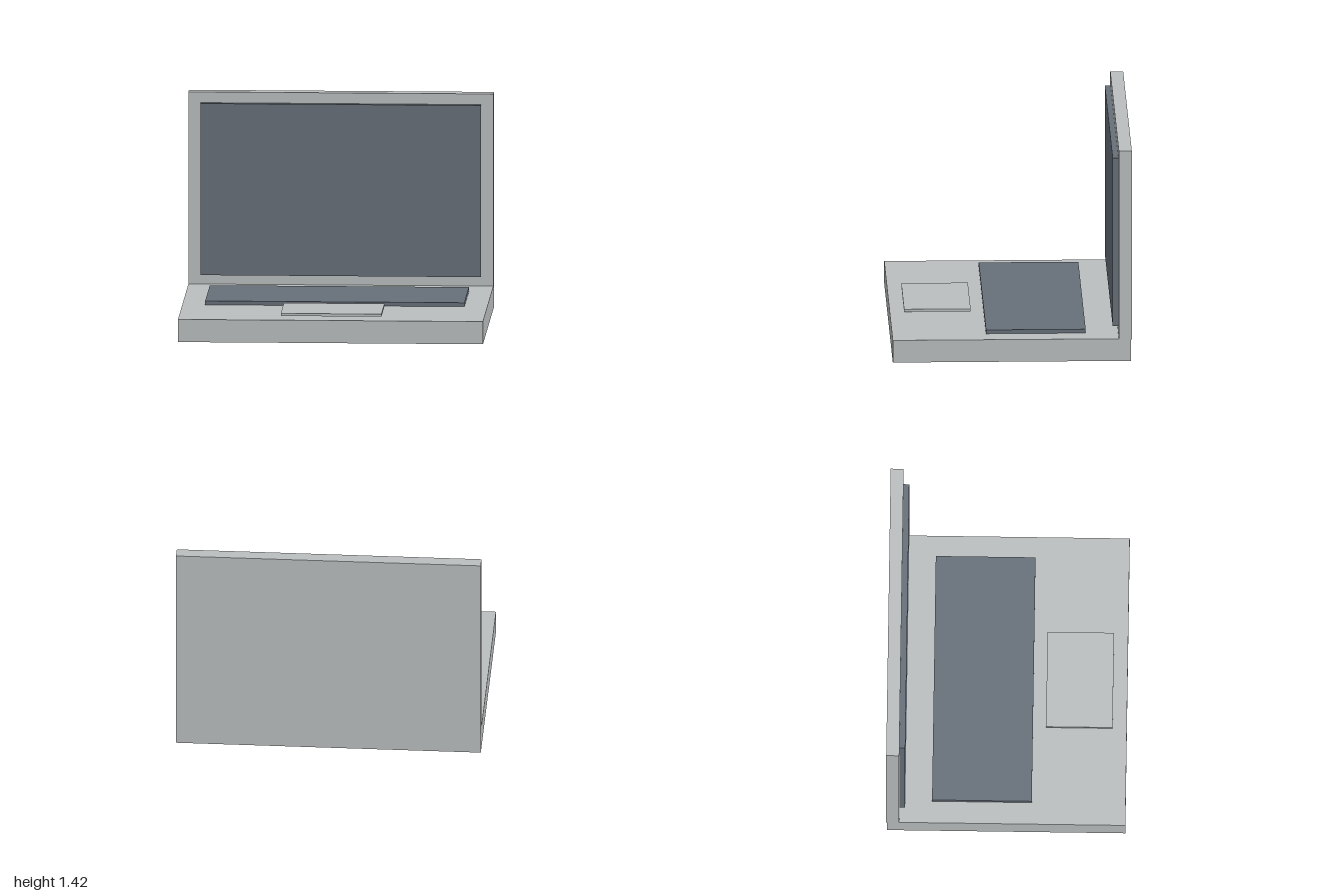
import * as THREE from 'three';

export function createModel() {
  const model = new THREE.Group();
  model.name = 'laptop';

  const casing = new THREE.MeshStandardMaterial({ color: 0xbbbfbf });
  casing.name = 'light grey casing';
  const slate = new THREE.MeshStandardMaterial({ color: 0x67707a });
  slate.name = 'slate panel';

  // Box centred on x, given its width and its y and z extents
  function slab(name, material, width, [y0, y1], [z0, z1]) {
    const mesh = new THREE.Mesh(new THREE.BoxGeometry(width, y1 - y0, z1 - z0), material);
    mesh.name = name;
    mesh.position.set(0, (y0 + y1) / 2, (z0 + z1) / 2);
    model.add(mesh);
  }

  // Lower half; the trackpad hovers just above the deck
  slab('base', casing, 2, [0, 0.15], [-0.778, 0.783]);
  slab('keyboard', slate, 1.7, [0.15, 0.176], [-0.485, 0.168]);
  slab('trackpad', casing, 0.66, [0.163, 0.18], [0.254, 0.69]);

  // Upright lid, slightly proud of the base at the back
  slab('lid', casing, 2, [0.144, 1.424], [-0.783, -0.698]);
  slab('screen', slate, 1.838, [0.215, 1.353], [-0.698, -0.66]);

  return model;
}
